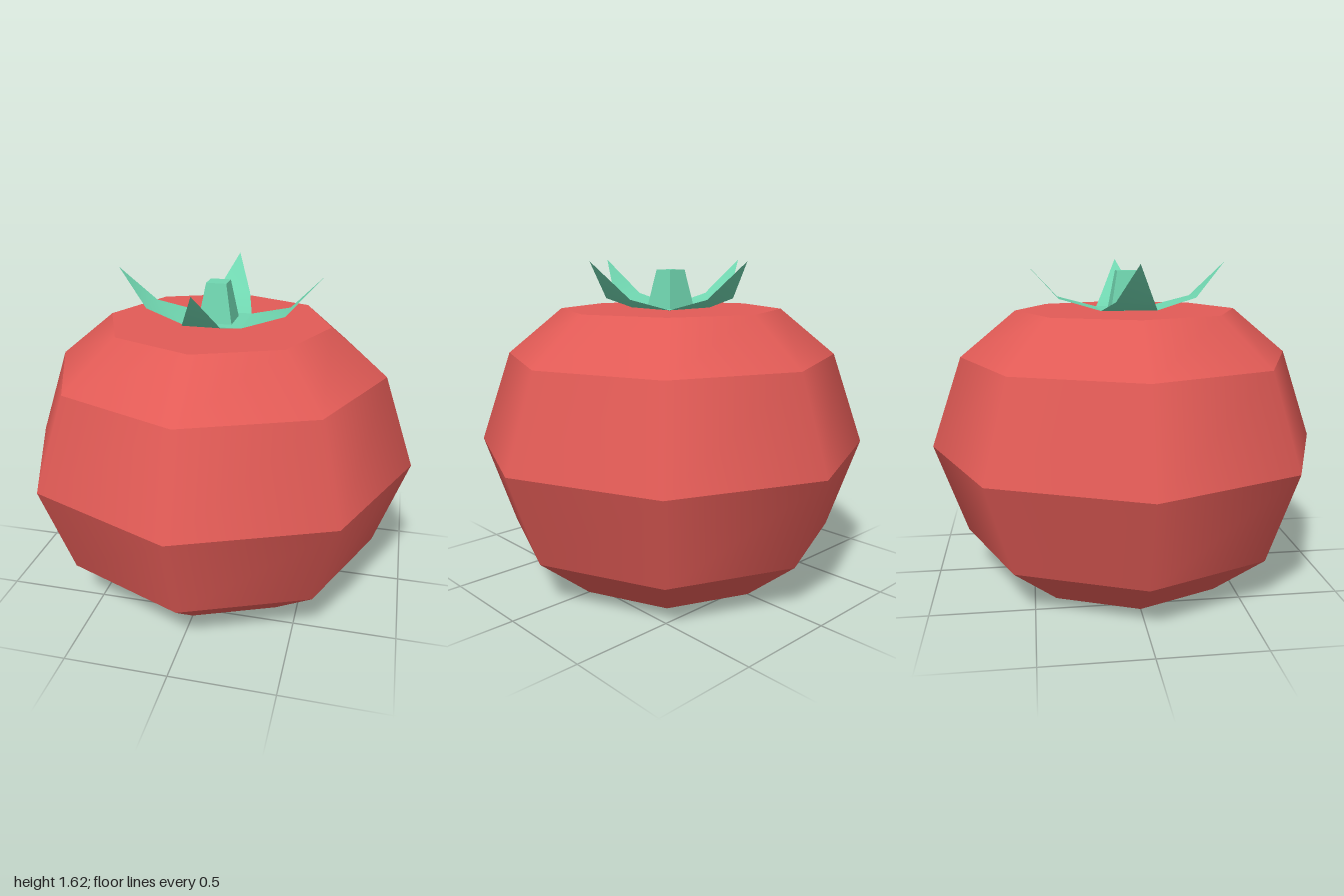
import * as THREE from 'three';

export function createModel() {
  const group = new THREE.Group();
  const red = new THREE.MeshStandardMaterial({ color: 0xe25b56, name: 'tomato red' });
  const green = new THREE.MeshStandardMaterial({ color: 0x70d6b0, name: 'leaf green', side: THREE.DoubleSide });

  const add = (name, geometry, material, y = 0) => {
    const mesh = new THREE.Mesh(geometry, material);
    mesh.name = name;
    mesh.position.y = y;
    group.add(mesh);
    return mesh;
  };

  // Eight-sided fruit: bands smooth around, with sharp edges between them
  const profile = [[0.56, 0], [0.84, 0.23], [1, 0.69], [0.84, 1.15], [0.56, 1.38]];
  for (let i = 0; i < 4; i++) {
    const [r0, y0] = profile[i], [r1, y1] = profile[i + 1];
    add(`fruitBand${i + 1}`, new THREE.CylinderGeometry(r1, r0, y1 - y0, 8, 1, true), red, (y0 + y1) / 2);
  }
  add('fruitTop', new THREE.CircleGeometry(0.56, 8).rotateX(-Math.PI / 2), red, 1.38);
  add('fruitBase', new THREE.CircleGeometry(0.56, 8).rotateX(Math.PI / 2), red, 0);

  // Four thin leaves curling upward from a flat square
  const leaf = new THREE.BufferGeometry();
  leaf.setAttribute('position', new THREE.Float32BufferAttribute([
    -0.14, 0, 0.14, 0.14, 0, 0.14,
    -0.09, 0.057, 0.345, 0.09, 0.057, 0.345,
    0, 0.235, 0.51,
  ], 3));
  leaf.setIndex([0, 2, 1, 1, 2, 3, 2, 4, 3]);
  leaf.computeVertexNormals();
  for (let i = 0; i < 4; i++) {
    add(`leaf${i + 1}`, leaf, green, 1.385).rotation.y = i * Math.PI / 2;
  }
  add('leafCentre', new THREE.PlaneGeometry(0.28, 0.28).rotateX(-Math.PI / 2), green, 1.385);

  // Square tapered stem with flat sides
  const stem = new THREE.CylinderGeometry(0.05 * Math.SQRT2, 0.085 * Math.SQRT2, 0.195, 4)
    .rotateY(Math.PI / 4).toNonIndexed();
  stem.computeVertexNormals();
  add('stem', stem, green, 1.4775);

  return group;
}
